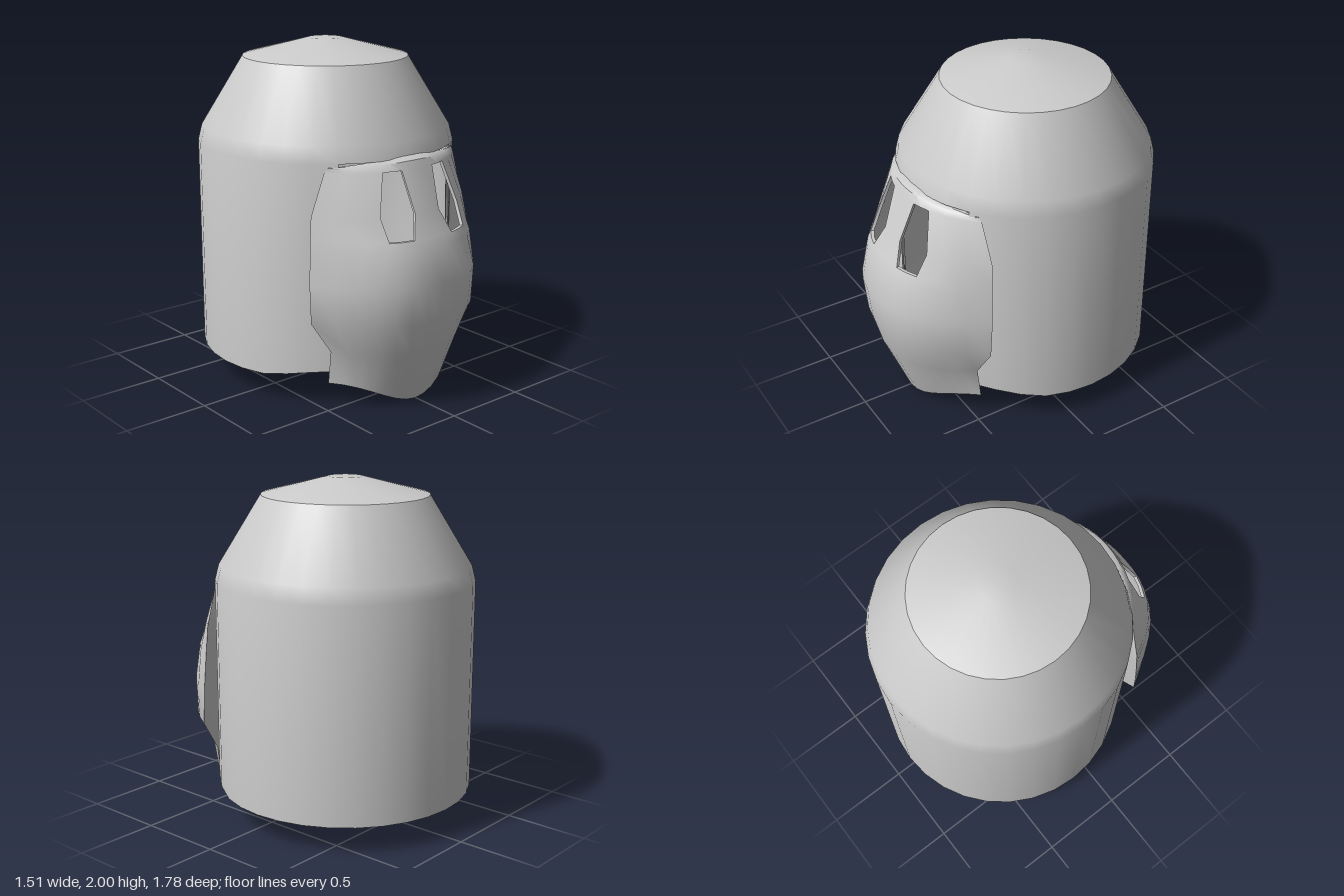
import * as THREE from 'three';
import { mergeGeometries, toCreasedNormals } from 'three/addons/utils/BufferGeometryUtils.js';

const SEG = 32, STEP = Math.PI * 2 / SEG, CREASE = 0.6;
const THICK = 0.018, SEAM = 1.41, CENTER_Z = -0.135;

// Lathe from [radius, y] pairs, leaving out `skip` segments each side of the front
function lathe(points, skip = 0) {
  return new THREE.LatheGeometry(points.map(p => new THREE.Vector2(...p)),
    SEG - 2 * skip, skip * STEP, (SEG - 2 * skip) * STEP);
}

// Thin-walled bucket shell with a face opening below the seam
function shellGeometry() {
  const r = 0.755, ri = r - THICK;
  const wall = lathe([[ri, SEAM], [ri, 0.165], [r, 0.165], [r, SEAM]], 3);
  const pos = wall.attributes.position;
  for (let i = 0; i < pos.count; i++) { // rim rises toward the face
    if (pos.getY(i) < 0.2) {
      pos.setY(i, 0.165 + 0.048 * THREE.MathUtils.smoothstep(pos.getZ(i), 0.25, 0.6));
    }
  }
  const crown = lathe([[ri, SEAM], [r, SEAM], [0.732, 1.5], [0.487, 1.9]]);
  const cap = lathe([[0.487, 1.9], [0.1, 2], [0, 2]]);
  const lining = lathe([[0, 1.975], [0.1, 1.975], [0.47, 1.88], [0.712, 1.5], [ri, SEAM]]);
  const g = mergeGeometries([wall, crown, cap, lining]);
  g.translate(0, 0, CENTER_Z);
  return toCreasedNormals(g, CREASE);
}

// Mask rows, top to bottom:
// centre y, edge lift, edge x, edge z, centre z, eye inner x, eye outer x, roundness
const ROWS = [
  [1.425, -0.035, 0.465, 0.46, 0.615, 0.115, 0.23, 2.0],
  [1.405, -0.025, 0.47, 0.455, 0.655, 0.115, 0.23, 2.0],
  [1.36, 0, 0.485, 0.45, 0.675, 0.113, 0.223, 2.1],
  [1.13, 0, 0.565, 0.437, 0.753, 0.088, 0.289, 2.4],
  [1.0, 0, 0.575, 0.442, 0.815, 0.14, 0.278, 2.5],
  [0.95, 0, 0.578, 0.445, 0.838, 0.15, 0.3, 2.6],
  [0.75, 0, 0.59, 0.453, 0.89, 0.19, 0.36, 2.6],
  [0.53, 0, 0.59, 0.465, 0.865, 0.19, 0.36, 2.6],
  [0.34, 0, 0.465, 0.482, 0.82, 0.15, 0.29, 2.4],
  [0, 0.145, 0.465, 0.46, 0.685, 0.14, 0.28, 2.4],
];
const HALF = 8; // columns per side; the last is the flange turned in to the shell

// Mask point at row r, column i (negative = right side), outer or inner layer
function maskPoint(r, i, inner) {
  const [y, lift, e, ze, zc, a, b, power] = ROWS[r];
  const k = Math.abs(i), side = Math.sign(i);
  const xs = [0, a / 2, a, (a + b) / 2, b, b + (e - b) / 3, b + (e - b) * 2 / 3, e];
  let x = xs[Math.min(k, 7)];
  const t = x / e;
  let z = ze + (zc - ze) * (1 - t ** power);
  if (k === HALF) { x = 0.45; z = ze - 0.005; }
  if (inner) {
    x *= k === HALF ? 1 : 0.97;
    z += k === HALF ? 0.015 : k === 7 ? 0.01 : -THICK;
  }
  return [side * x, y + lift * t * t * (3 - 2 * t), z];
}

function maskGeometry() {
  const out = [];
  const quad = (p, q, s, t) => out.push(...p, ...q, ...s, ...p, ...s, ...t);
  const solid = (r, i) => {
    if (r < 0 || r >= ROWS.length - 1 || i < -HALF || i >= HALF) return false;
    const m = Math.min(Math.abs(i), Math.abs(i + 1));
    return !((r === 2 || r === 3) && (m === 2 || m === 3)); // eye openings
  };
  for (let r = 0; r < ROWS.length - 1; r++) {
    for (let i = -HALF; i < HALF; i++) {
      if (!solid(r, i)) continue;
      const corners = [[r, i], [r + 1, i], [r + 1, i + 1], [r, i + 1]];
      const o = corners.map(c => maskPoint(...c, false));
      const n = corners.map(c => maskPoint(...c, true));
      quad(...o);
      quad(n[3], n[2], n[1], n[0]);
      // close the thickness wherever there is no neighbour
      const next = [[r, i - 1], [r + 1, i], [r, i + 1], [r - 1, i]];
      next.forEach((c, j) => {
        const k = (j + 1) % 4;
        if (!solid(...c)) quad(o[j], n[j], n[k], o[k]);
      });
    }
  }
  const g = new THREE.BufferGeometry();
  g.setAttribute('position', new THREE.Float32BufferAttribute(out, 3));
  return toCreasedNormals(g, CREASE);
}

export function createModel() {
  const group = new THREE.Group();
  group.name = 'helmet';
  const material = new THREE.MeshStandardMaterial({ color: 0xcccccc, side: THREE.DoubleSide });
  const add = (name, geometry) => {
    const mesh = new THREE.Mesh(geometry, material);
    mesh.name = name;
    group.add(mesh);
  };
  add('shell', shellGeometry());
  add('faceMask', maskGeometry());
  return group;
}
